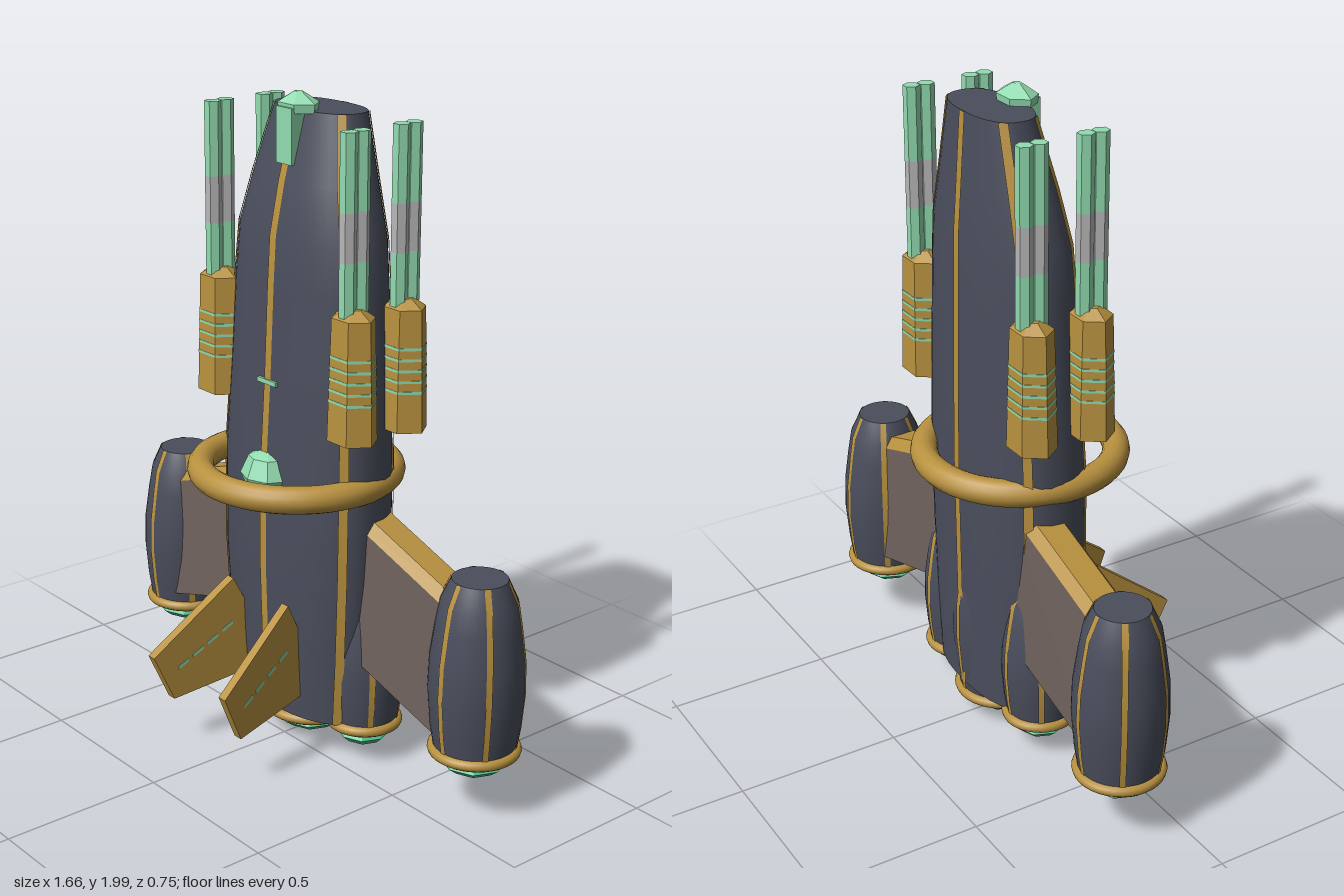
import * as THREE from 'three';

const mat = (name, color, side = THREE.FrontSide) => {
  const m = new THREE.MeshStandardMaterial({ color, side });
  m.name = name;
  return m;
};
const navy = mat('dark hull', 0x4a4e5c);
const gold = mat('gold trim', 0xb8913f);
const stripeGold = gold.clone();
stripeGold.side = THREE.DoubleSide;
const mint = mat('mint crystal', 0x92dcb0);
const jade = mat('jade crystal', 0x4dbb8a);
const silver = mat('silver band', 0xb8b8b8);
const brown = mat('brown wing', 0x6e615c);

const flat = (g) => {
  const f = g.index ? g.toNonIndexed() : g;
  f.computeVertexNormals();
  return f;
};

function add(parent, name, geo, material, x = 0, y = 0, z = 0) {
  const m = new THREE.Mesh(geo, material);
  m.name = name;
  m.position.set(x, y, z);
  parent.add(m);
  return m;
}

function fromTriangles(pos, index) {
  const g = new THREE.BufferGeometry();
  g.setAttribute('position', new THREE.Float32BufferAttribute(pos, 3));
  g.setIndex(index);
  g.computeVertexNormals();
  return g;
}

// Point on a body section; row = [y, half width, half depth, centre z]
function sectionPoint([y, rx, rz, zc], a, n) {
  const pw = (v) => Math.sign(v) * Math.abs(v) ** (2 / n);
  return [rx * pw(Math.sin(a)), y, zc + rz * pw(Math.cos(a))];
}

// Smooth closed body lofted through the rows
function loft(rows, n, sides = 40) {
  const pos = [], idx = [], last = rows.length - 1;
  const all = [...rows, rows[0], rows[last]];
  for (const r of all)
    for (let j = 0; j < sides; j++) pos.push(...sectionPoint(r, (j / sides) * Math.PI * 2, n));
  const v = (i, j) => i * sides + (j % sides);
  for (let i = 0; i < last; i++)
    for (let j = 0; j < sides; j++)
      idx.push(v(i, j), v(i, j + 1), v(i + 1, j), v(i, j + 1), v(i + 1, j + 1), v(i + 1, j));
  const c = all.length * sides;
  pos.push(0, rows[0][0], rows[0][3], 0, rows[last][0], rows[last][3]);
  for (let j = 0; j < sides; j++)
    idx.push(c, v(last + 1, j + 1), v(last + 1, j), c + 1, v(last + 2, j), v(last + 2, j + 1));
  return fromTriangles(pos, idx);
}

// Thin ribbon running up the body at one angle
function ribbon(rows, n, a, width) {
  const pos = [], idx = [];
  rows.forEach(([y, rx, rz, zc], i) => {
    const row = [y, rx + 0.003, rz + 0.003, zc];
    const p = sectionPoint(row, a - 0.03, n), q = sectionPoint(row, a + 0.03, n);
    const c = sectionPoint(row, a, n);
    const dx = q[0] - p[0], dz = q[2] - p[2], k = width / 2 / Math.hypot(dx, dz);
    pos.push(c[0] - dx * k, y, c[2] - dz * k, c[0] + dx * k, y, c[2] + dz * k);
    if (i) idx.push(2 * i - 2, 2 * i - 1, 2 * i, 2 * i - 1, 2 * i + 1, 2 * i);
  });
  return fromTriangles(pos, idx);
}

function stripedBody(parent, name, rows, n, width) {
  const g = new THREE.Group();
  g.name = name;
  add(g, name + 'Shell', loft(rows, n), navy);
  for (let k = 0; k < 6; k++)
    add(g, name + 'Stripe', ribbon(rows, n, (k * Math.PI) / 3, width), stripeGold);
  parent.add(g);
  return g;
}

// Engine pod with a gold collar and a crystal exhaust, base at y = 0
function engine(parent, name, s, x, y, z, crystalR) {
  const rows = [[0, 0.118], [0.08, 0.13], [0.19, 0.139], [0.29, 0.136], [0.39, 0.122], [0.46, 0.11], [0.525, 0.08]]
    .map(([h, r]) => [h * s, r * s, r * s, 0]);
  const g = stripedBody(parent, name, rows, 2, 0.018);
  g.position.set(x, y, z);
  const collar = add(g, name + 'Collar', new THREE.TorusGeometry(0.119 * s, 0.017, 10, 36), gold);
  collar.rotation.x = Math.PI / 2;
  const crystal = add(g, name + 'Exhaust', flat(new THREE.SphereGeometry(1, 8, 4)), jade, 0, -0.043, 0);
  crystal.scale.set(crystalR, 0.032, crystalR);
}

// Wing section ring lofted from root to tip; gold cap above, brown plating below
function wing(parent, side) {
  const ends = [[0.2, 0.825, 0.38], [0.68, 0.66, 0.235]];
  const rings = ends.map(([x, top, bottom]) =>
    [[bottom, 0.088], [top - 0.035, 0.065], [top, 0.04], [top, -0.04], [top - 0.035, -0.065], [bottom, -0.088]]
      .map(([y, z]) => [x * side, y, z - 0.125]));
  const faces = (list) => {
    const pos = [];
    for (const i of list) {
      const j = (i + 1) % 6;
      const [a, b, c, d] = [rings[0][i], rings[1][i], rings[1][j], rings[0][j]];
      const tri = side > 0 ? [a, b, c, a, c, d] : [a, c, b, a, d, c];
      tri.forEach((p) => pos.push(...p));
    }
    return fromTriangles(pos, [...Array(pos.length / 3).keys()]);
  };
  add(parent, 'wingPlating', faces([0, 4, 5]), brown);
  add(parent, 'wingTopEdge', faces([1, 2, 3]), gold);
}

// Slab cut from a (z, y) outline, sheared outward with z
function finSlab(points, depth, side) {
  const shape = new THREE.Shape(points.map(([z, y]) => new THREE.Vector2(z, y)));
  const g = new THREE.ExtrudeGeometry(shape, { depth, bevelEnabled: false });
  g.translate(0, 0, -depth / 2).rotateY(-Math.PI / 2);
  const p = g.attributes.position;
  for (let i = 0; i < p.count; i++) p.setX(i, p.getX(i) + side * (0.115 + 0.16 * p.getZ(i)));
  return flat(g);
}

const hexPrism = (top, bottom, h) =>
  flat(new THREE.CylinderGeometry(top, bottom, h, 6, 1, false, Math.PI / 6));

// Hexagonal launcher with two banded barrels
function launcher(parent, x, z) {
  const g = new THREE.Group();
  g.name = 'launcher';
  g.position.set(x, 0, z);
  const pod = new THREE.Group();
  pod.name = 'launcherCasing';
  pod.scale.z = 0.8;
  g.add(pod);
  add(pod, 'casing', hexPrism(0.072, 0.084, 0.36), gold, 0, 1.24, 0);
  add(pod, 'casingRoof', hexPrism(0.03, 0.072, 0.025), gold, 0, 1.4325, 0);
  for (let k = 0; k < 5; k++) {
    const y = 1.18 + k * 0.032, r = 0.079 - (y - 1.21) * 0.0333 + 0.0015;
    add(pod, 'casingLight', hexPrism(r, r, 0.008), mint, 0, y, 0);
  }
  for (const s of [-1, 1]) {
    add(g, 'barrelBase', hexPrism(0.025, 0.025, 0.17), mint, 0, 1.495, s * 0.023);
    add(g, 'barrelBand', hexPrism(0.025, 0.025, 0.14), silver, 0, 1.65, s * 0.023);
    add(g, 'barrelTip', hexPrism(0.025, 0.025, 0.22), mint, 0, 1.83, s * 0.023);
  }
  parent.add(g);
}

export function createModel() {
  const model = new THREE.Group();
  model.name = 'rocketShip';

  // Main hull
  stripedBody(model, 'hull', [
    [0.13, 0.27, 0.155, -0.095], [0.35, 0.292, 0.163, -0.091], [0.6, 0.307, 0.168, -0.088],
    [0.9, 0.308, 0.168, -0.09], [1.2, 0.292, 0.157, -0.097], [1.45, 0.278, 0.149, -0.1],
    [1.6, 0.264, 0.143, -0.103], [1.75, 0.222, 0.122, -0.113], [1.95, 0.165, 0.088, -0.133],
  ], 2.4, 0.028);

  // Ring around the waist
  const ring = add(model, 'waistRing', new THREE.TorusGeometry(0.284, 0.041, 14, 56), gold, 0, 0.885, -0.045);
  ring.rotation.x = Math.PI / 2;

  // Nose crystal, its mount, cockpit crystal and the small light above it
  add(model, 'noseMount', new THREE.BoxGeometry(0.07, 0.16, 0.09), mint, 0, 1.88, -0.042);
  const nose = new THREE.Group();
  nose.name = 'noseCrystal';
  nose.position.set(0, 0, -0.05);
  nose.scale.z = 0.75;
  add(nose, 'noseCrystalBase', hexPrism(0.072, 0.068, 0.025), mint, 0, 1.9575, 0);
  add(nose, 'noseCrystalTop', hexPrism(0.015, 0.072, 0.03), mint, 0, 1.985, 0);
  model.add(nose);
  const cockpit = add(model, 'cockpitCrystal', flat(new THREE.SphereGeometry(1, 8, 4)), mint, 0, 0.885, 0.06);
  cockpit.scale.set(0.09, 0.08, 0.08);
  add(model, 'hullLight', new THREE.BoxGeometry(0.084, 0.014, 0.01), mint, 0, 1.17, 0.064);

  // Engines
  engine(model, 'mainEngine', 1.12, 0, 0.085, -0.11, 0.105);
  for (const s of [-1, 1]) {
    engine(model, 'wingEngine', 1, s * 0.69, 0.205, -0.14, 0.097);
    engine(model, 'boosterEngine', 0.84, s * 0.235, 0.12, -0.12, 0.082);
    wing(model, s);
    for (const z of [-0.19, 0]) launcher(model, s * 0.302, z);

    // Front fin with small lights showing on both faces
    add(model, 'fin', finSlab([[0.02, 0.21], [0.31, 0.165], [0.375, 0.315], [0.105, 0.52], [0.02, 0.35]], 0.03, s), gold);
    for (let k = 0; k < 4; k++) {
      const z = 0.11 + k * 0.05, y = 0.37 - k * 0.03;
      add(model, 'finLight', finSlab([[z, y], [z + 0.035, y - 0.02], [z + 0.035, y - 0.01], [z, y + 0.01]], 0.034, s), mint);
    }
  }
  return model;
}
